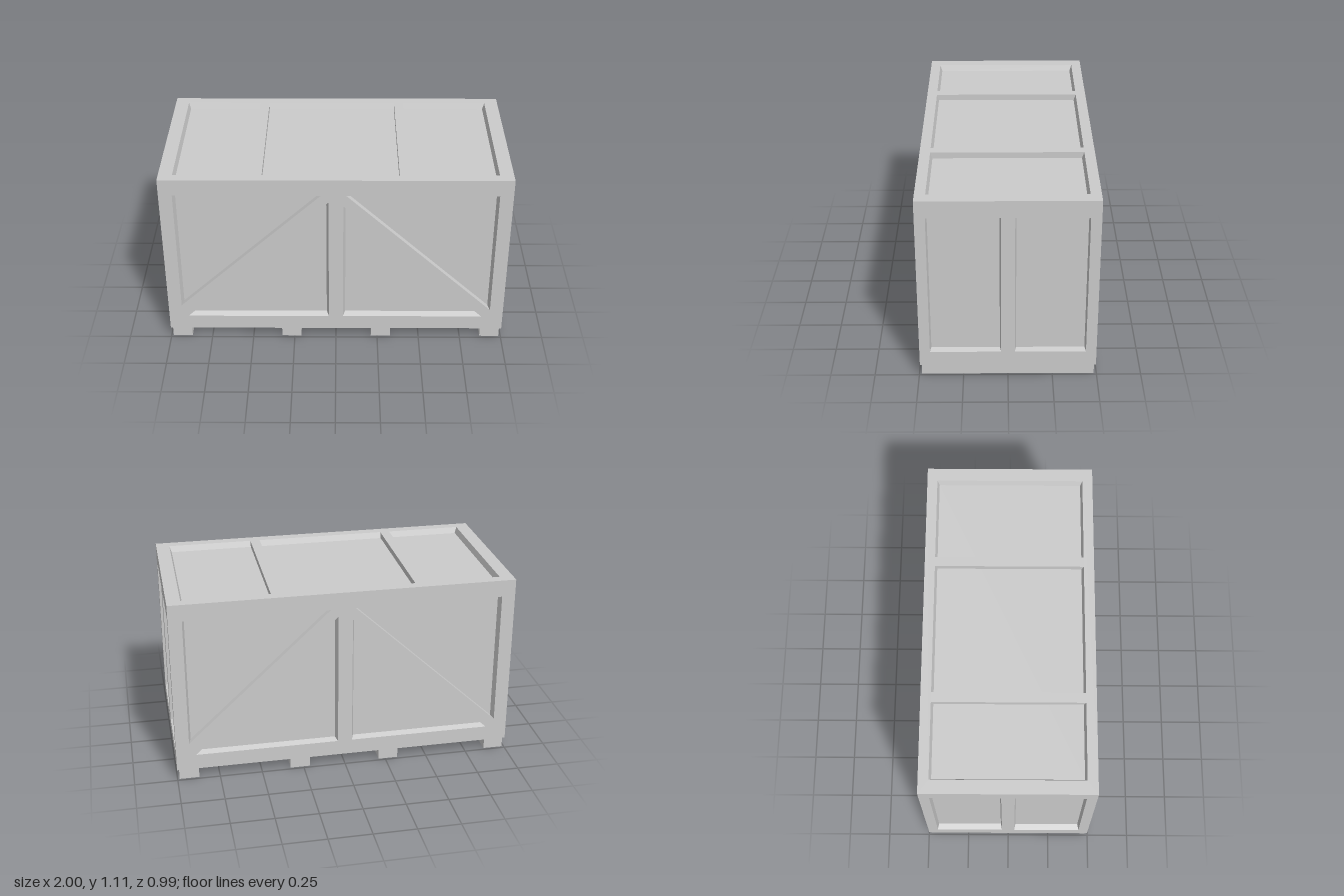
import * as THREE from 'three';

const material = new THREE.MeshStandardMaterial({ color: 0xcccccc, flatShading: true });
const X = 1, Z = 0.495, BASE = 0.066, TOP = 1.11; // body extents
const DEPTH = 0.036; // how far the panels sit behind the frame

function mesh(name, geometry) {
  const m = new THREE.Mesh(geometry, material);
  m.name = name;
  return m;
}

const rect = (u0, v0, u1, v1) => [[u0, v0], [u1, v0], [u1, v1], [u0, v1]];
const toShape = (pts) => new THREE.Shape(pts.map(([u, v]) => new THREE.Vector2(u, v)));

// Recessed panel: four slightly sloping walls and a floor
function pocket([u0, v0, u1, v1], slope) {
  const outer = rect(u0, v0, u1, v1).map(([u, v]) => [u, v, 0]);
  const inner = rect(u0 + slope, v0 + slope, u1 - slope, v1 - slope).map(([u, v]) => [u, v, -DEPTH]);
  const pos = [];
  const quad = (a, b, c, d) => pos.push(...a, ...b, ...c, ...a, ...c, ...d);
  for (let i = 0; i < 4; i++) {
    const j = (i + 1) % 4;
    quad(outer[i], outer[j], inner[j], inner[i]);
  }
  quad(...inner);
  const g = new THREE.BufferGeometry();
  g.setAttribute('position', new THREE.Float32BufferAttribute(pos, 3));
  g.computeVertexNormals();
  return g;
}

// One side of the crate, facing local +z: frame, recessed panels and flush battens
function crateSide(name, outline, openings, slope, battens = []) {
  const side = new THREE.Group();
  side.name = name;
  const frame = toShape(rect(...outline));
  openings.forEach((o) => frame.holes.push(toShape(rect(...o))));
  side.add(mesh(name + 'Frame', new THREE.ShapeGeometry(frame)));
  openings.forEach((o) => side.add(mesh(name + 'Panel', pocket(o, slope))));
  battens.forEach((pts) => {
    const g = new THREE.ExtrudeGeometry(toShape(pts), { depth: DEPTH, bevelEnabled: false });
    side.add(mesh(name + 'Batten', g.translate(0, 0, -DEPTH)));
  });
  return side;
}

export function createModel() {
  const crate = new THREE.Group();
  crate.name = 'crate';
  const low = 0.157, high = 1.01, u = 0.922, c = 0.042; // opening limits

  // Long sides, each with two diagonal braces
  const braces = [
    [[-u, 0.235], [-u, low], [-0.885, low], [-c, 0.965], [-c, high], [-0.085, high]],
    [[c, high], [c, 0.94], [0.872, low], [u, low], [u, 0.205], [0.058, high]],
  ];
  ['front', 'back'].forEach((name, i) => {
    const openings = [[-u, low, -c, high], [c, low, u, high]];
    const side = crateSide(name, [-X, BASE, X, TOP], openings, 0.013, braces);
    side.rotation.y = i * Math.PI;
    side.position.z = i ? -Z : Z;
    crate.add(side);
  });

  // Short ends
  ['left', 'right'].forEach((name, i) => {
    const openings = [[-0.436, low, -0.038, high], [0.038, low, 0.436, high]];
    const side = crateSide(name + 'End', [-Z, BASE, Z, TOP], openings, 0.007);
    side.rotation.y = i ? -Math.PI / 2 : Math.PI / 2;
    side.position.x = i ? -X : X;
    crate.add(side);
  });

  // Lid with two cross battens
  const lid = crateSide('lid', [-X, -Z, X, Z], [[-0.92, -0.435, 0.92, 0.435]], 0.012,
    [rect(-0.475, -0.435, -0.417, 0.435), rect(0.358, -0.435, 0.416, 0.435)]);
  lid.rotation.x = -Math.PI / 2;
  lid.position.y = TOP;
  crate.add(lid);

  // Floor
  const floor = mesh('floor', new THREE.PlaneGeometry(2 * X, 2 * Z));
  floor.rotation.x = Math.PI / 2;
  floor.position.y = BASE;
  crate.add(floor);

  // Runners under the crate
  [-0.93, -0.268, 0.27, 0.93].forEach((x) => {
    const runner = mesh('runner', new THREE.BoxGeometry(0.116, BASE, 0.97));
    runner.position.set(x, BASE / 2, 0);
    crate.add(runner);
  });

  return crate;
}
